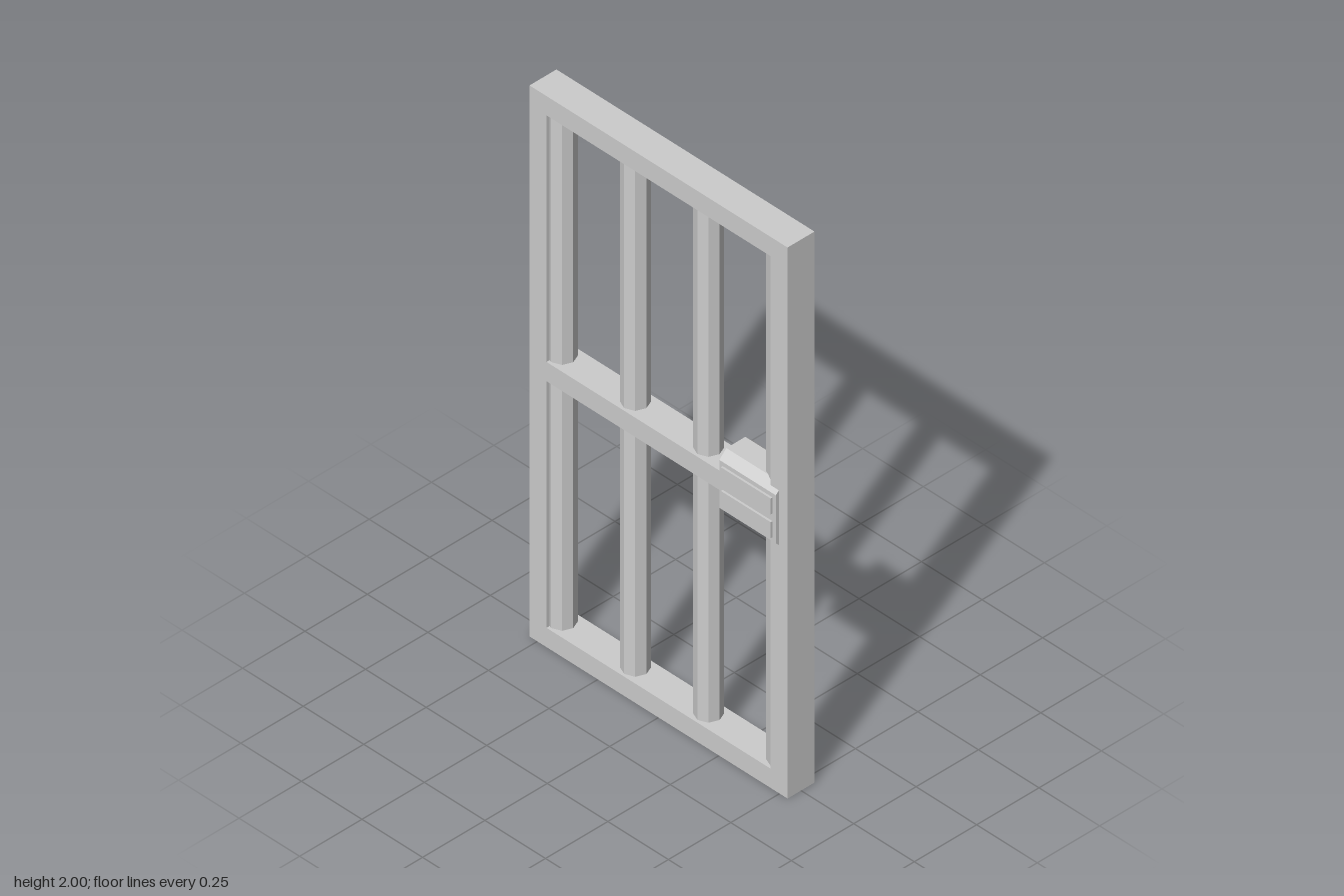
import * as THREE from 'three';

const W = 1.065, H = 2, D = 0.108, RAIL = 0.07;

export function createModel() {
  const group = new THREE.Group();
  const material = new THREE.MeshStandardMaterial({ color: 0xcccccc, flatShading: true });

  const add = (name, geometry, x, y, z) => {
    const mesh = new THREE.Mesh(geometry, material);
    mesh.name = name;
    mesh.position.set(x, y, z);
    group.add(mesh);
    return mesh;
  };
  const polygon = (points) => points.map(([x, y]) => new THREE.Vector2(x, y));
  const rectangle = (w, h) => polygon([[-w / 2, -h / 2], [w / 2, -h / 2], [w / 2, h / 2], [-w / 2, h / 2]]);

  // Outer frame with one opening
  const frame = new THREE.Shape(rectangle(W, H));
  frame.holes.push(new THREE.Path(rectangle(W - 2 * RAIL, H - 2 * RAIL).reverse()));
  add('frame', new THREE.ExtrudeGeometry(frame, { depth: D, bevelEnabled: false }), 0, H / 2, -D / 2);

  // Middle rail, flush with the frame
  add('crossbar', new THREE.BoxGeometry(W - 2 * RAIL, RAIL, D), 0, H / 2, 0);

  // Four eight-sided bars, the outer two partly sunk into the frame
  for (let i = 0; i < 4; i++) {
    add('bar', new THREE.CylinderGeometry(0.045, 0.045, H - 2 * RAIL + 0.02, 8), (i - 1.5) * 0.302, H / 2, 0);
  }

  // Lock case: chamfered profile (z, y) extruded along x
  const z = 0.066, y = 0.115, cz = 0.028, cy = 0.028;
  const profile = new THREE.Shape(polygon([
    [-z, -y + cy], [-z + cz, -y], [z - cz, -y], [z, -y + cy],
    [z, y - cy], [z - cz, y], [-z + cz, y], [-z, y - cy],
  ]));
  const lockWidth = 0.233, lockX = 0.38;
  const lockCase = new THREE.ExtrudeGeometry(profile, { depth: lockWidth, bevelEnabled: false });
  lockCase.translate(0, 0, -lockWidth / 2).rotateY(Math.PI / 2);
  add('lockCase', lockCase, lockX, H / 2, 0);

  // Two raised plates on each face of the lock
  for (const side of [-1, 1]) {
    for (const row of [-1, 1]) {
      add('lockPlate', new THREE.BoxGeometry(0.206, 0.058, 0.02), lockX, H / 2 + row * 0.043, side * 0.0635);
    }
  }
  return group;
}
